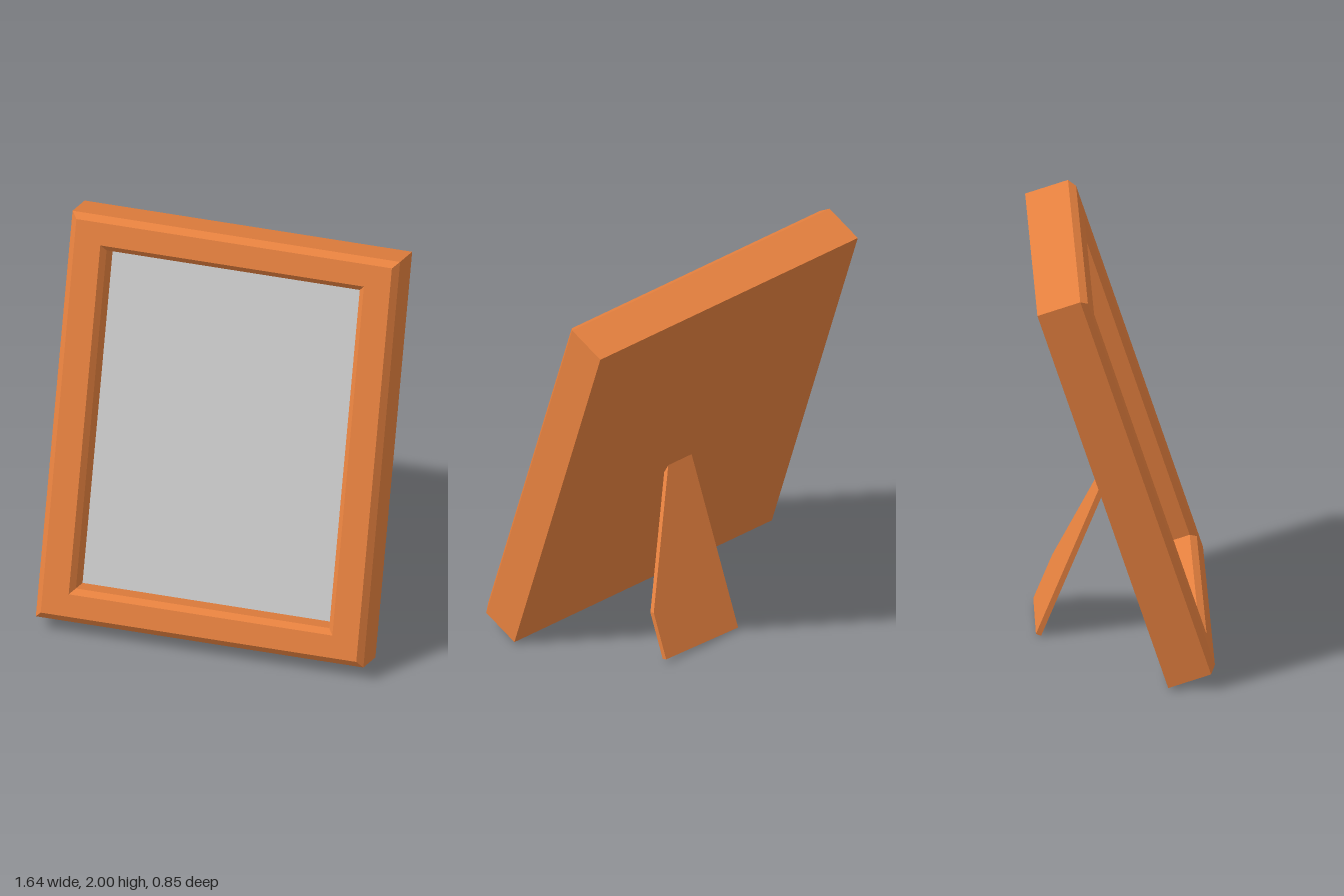
import * as THREE from 'three';

// Lofts rectangular rings [halfWidth, halfHeight, z] into mitred, flat faces
function loftRings(rings) {
  const pos = [];
  const corner = ([w, h, z], i) => {
    const [sx, sy] = [[-1, -1], [1, -1], [1, 1], [-1, 1]][i % 4];
    return [sx * w, sy * h, z];
  };
  for (let r = 0; r < rings.length - 1; r++) {
    for (let i = 0; i < 4; i++) {
      const a = corner(rings[r], i), b = corner(rings[r], i + 1);
      const c = corner(rings[r + 1], i + 1), d = corner(rings[r + 1], i);
      pos.push(...a, ...b, ...c, ...a, ...c, ...d);
    }
  }
  const geo = new THREE.BufferGeometry();
  geo.setAttribute('position', new THREE.Float32BufferAttribute(pos, 3));
  geo.computeVertexNormals();
  return geo;
}

export function createModel() {
  const group = new THREE.Group();
  const orange = new THREE.MeshStandardMaterial({ color: 0xe6813f });
  const grey = new THREE.MeshStandardMaterial({ color: 0xcccccc });
  const add = (parent, name, geo, mat) => {
    const mesh = new THREE.Mesh(geo, mat);
    mesh.name = name;
    parent.add(mesh);
    return mesh;
  };

  // Leaning frame, with its origin at the middle of the back face
  const W = 0.82, H = 1.0125, sideDepth = 0.217, depth = 0.247, panelZ = 0.1;
  const frame = new THREE.Group();
  frame.name = 'frame';
  frame.position.set(0, 0.9725, -0.115);
  frame.rotation.x = -0.316;
  group.add(frame);

  // Border: outer side, outer chamfer, front face, inner chamfer, inner wall
  add(frame, 'frameBorder', loftRings([
    [W, H, 0],
    [W, H, sideDepth],
    [W - 0.03, H - 0.03, depth],
    [0.66, 0.871, depth],
    [0.634, 0.844, depth - 0.028],
    [0.634, 0.844, panelZ],
  ]), orange);

  // Picture panel and back board
  add(frame, 'picturePanel', new THREE.PlaneGeometry(1.268, 1.688), grey).position.z = panelZ;
  add(frame, 'backBoard', new THREE.PlaneGeometry(2 * W, 2 * H), orange).rotation.y = Math.PI;

  // Easel leg: one straight edge, one slanted edge
  const outline = new THREE.Shape([
    [-0.075, 0], [0.38, 0.01], [0.38, 0.25], [0.073, 0.9], [-0.073, 0.9],
  ].map(([x, y]) => new THREE.Vector2(x, y)));
  const legGeo = new THREE.ExtrudeGeometry(outline, { depth: 0.027, bevelEnabled: false });
  legGeo.translate(0, 0, -0.027);
  const leg = add(group, 'easelLeg', legGeo, orange);
  leg.position.set(0, 0.001, -0.385);
  leg.rotation.x = 0.388;

  return group;
}
